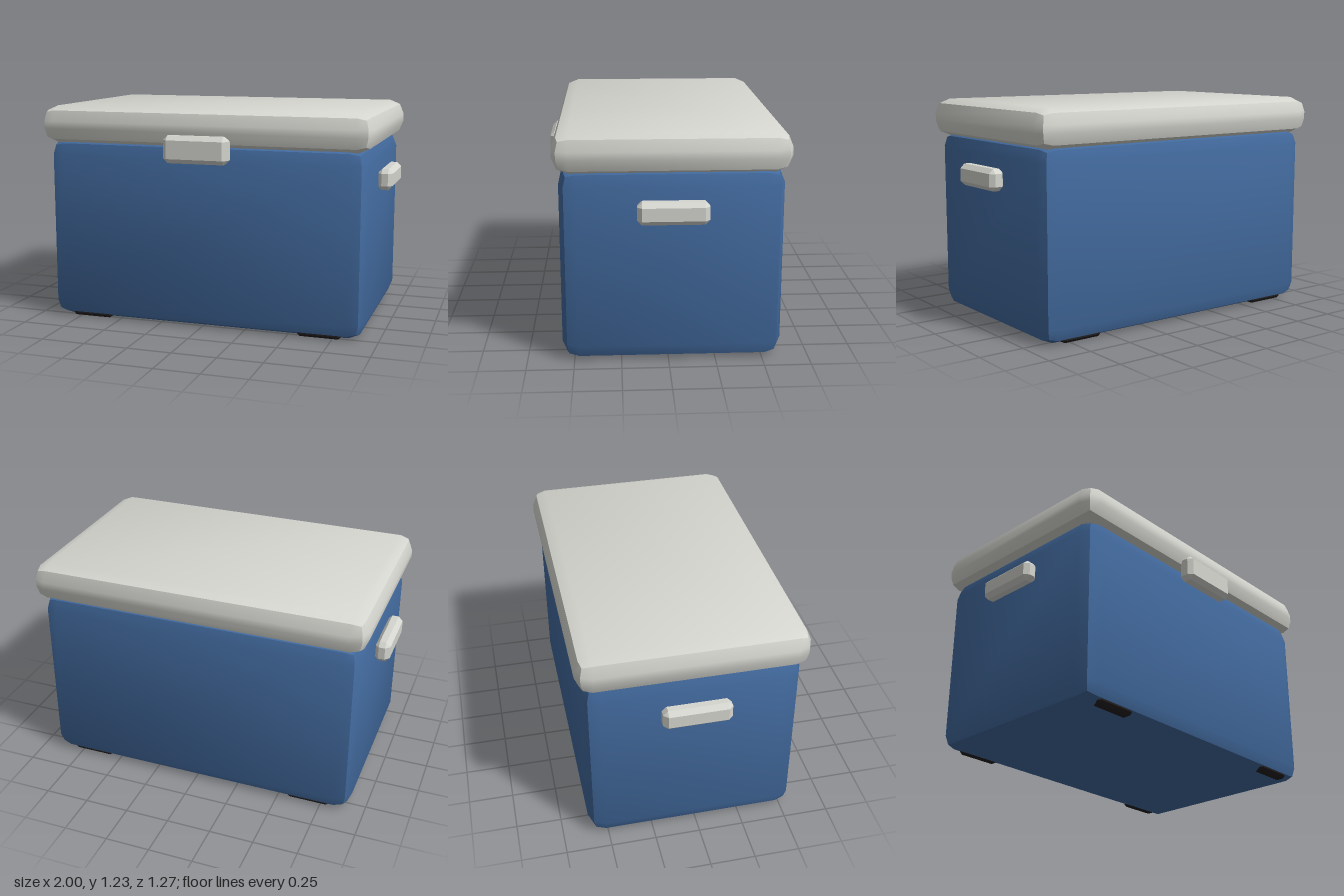
import * as THREE from 'three';
import { toCreasedNormals } from 'three/addons/utils/BufferGeometryUtils.js';
import { RoundedBoxGeometry } from 'three/addons/geometries/RoundedBoxGeometry.js';
import { ConvexGeometry } from 'three/addons/geometries/ConvexGeometry.js';

function material(name, color) {
  const m = new THREE.MeshStandardMaterial({ color });
  m.name = name;
  return m;
}

// Box with two-step rounded edges and a crease along the middle of each edge
function softBox(w, h, d, r) {
  return toCreasedNormals(new RoundedBoxGeometry(w, h, d, 1, r), 0.6);
}

// Box with every edge cut at 45 degrees by c
function chamferBox(w, h, d, c) {
  const half = [w / 2, h / 2, d / 2];
  const points = [];
  for (const sx of [-1, 1]) for (const sy of [-1, 1]) for (const sz of [-1, 1]) {
    for (let outer = 0; outer < 3; outer++) {
      const p = half.map((v, i) => (i === outer ? v : v - c));
      points.push(new THREE.Vector3(p[0] * sx, p[1] * sy, p[2] * sz));
    }
  }
  return new ConvexGeometry(points);
}

export function createModel() {
  const model = new THREE.Group();
  model.name = 'coolBox';
  const blue = material('blue shell', 0x426a9e);
  const grey = material('light grey', 0xd6d6d0);
  const dark = material('dark rubber', 0x221e1e);

  const add = (name, geometry, mat, x, y, z) => {
    const mesh = new THREE.Mesh(geometry, mat);
    mesh.name = name;
    mesh.position.set(x, y, z);
    model.add(mesh);
  };

  const midZ = -0.02;

  // Main container and overhanging lid
  add('body', softBox(1.84, 1.044, 1.169, 0.09), blue, 0, 0.522, midZ);
  add('lid', softBox(1.91, 0.212, 1.23, 0.085), grey, 0, 1.126, midZ);

  // Front latch
  add('latch', chamferBox(0.37, 0.152, 0.095, 0.025), grey, 0, 1.016, 0.5925);

  // Side handles and the runners underneath, mirrored
  for (const side of [-1, 1]) {
    const label = side > 0 ? 'left' : 'right';
    add(label + 'Handle', chamferBox(0.086, 0.12, 0.37, 0.025), grey, side * 0.957, 0.833, midZ);
    add(label + 'Runner', chamferBox(0.245, 0.05, 1.112, 0.015), dark, side * 0.677, 0.027, midZ);
  }
  return model;
}
